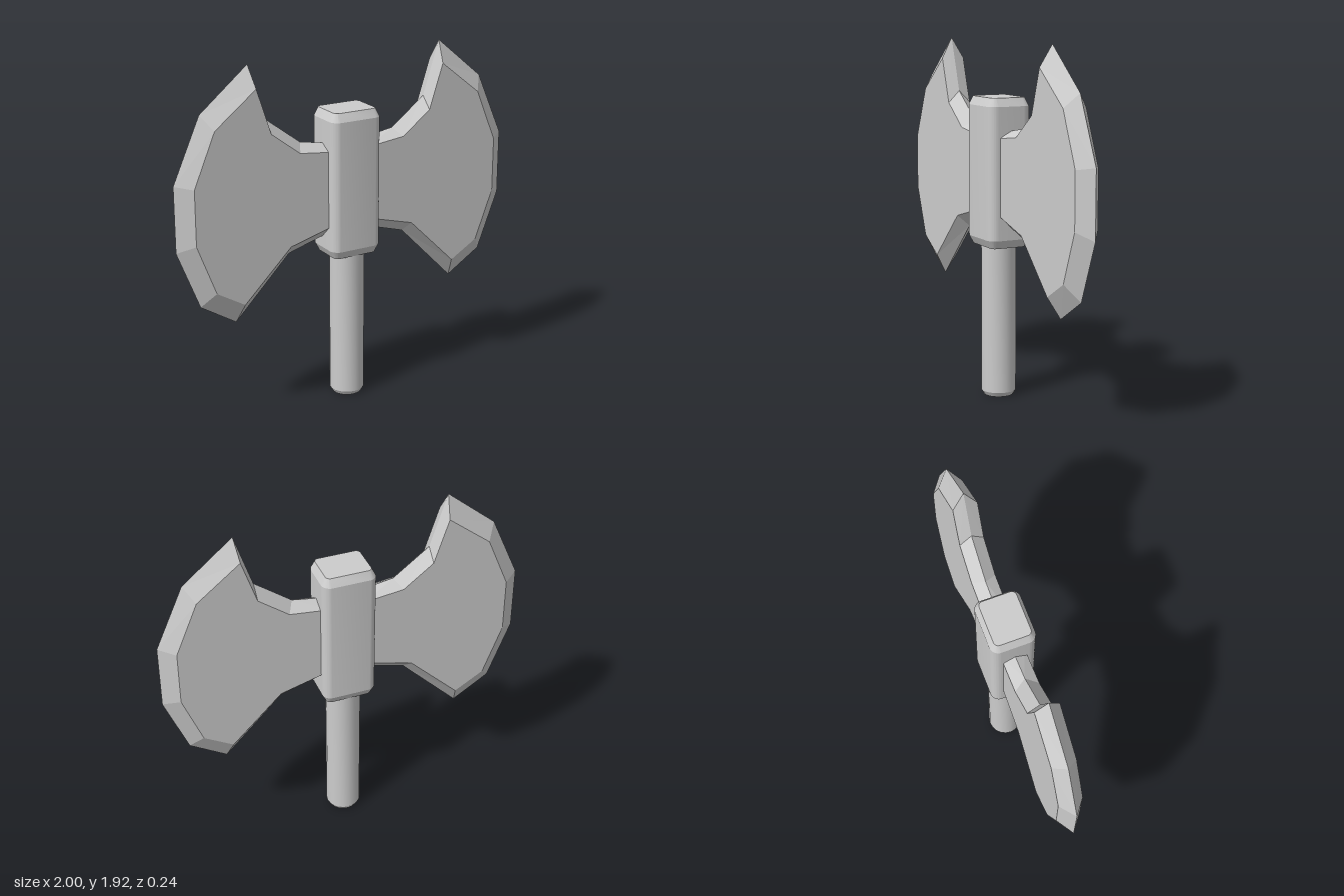
import * as THREE from 'three';
import { toCreasedNormals } from 'three/addons/utils/BufferGeometryUtils.js';

// Each row: cutting edge x, y (at z = 0), then flat face x, y (at z = +-BLADE_HALF)
const BLADE_HALF = 0.065;
const BLADE_RIM = [
  [0.10, 0.955, 0.10, 1.015],
  [0.355, 0.88, 0.375, 0.94],
  [0.675, 0.555, 0.65, 0.67],
  [0.875, 0.68, 0.81, 0.765],
  [1.0, 1.0, 0.915, 1.04],
  [1.0, 1.355, 0.915, 1.34],
  [0.847, 1.70, 0.795, 1.625],
  [0.575, 1.925, 0.56, 1.81],
  [0.48, 1.63, 0.48, 1.565],
  [0.28, 1.48, 0.315, 1.44],
  [0.10, 1.45, 0.10, 1.415],
];

// Flat plate with bevels that meet in a sharp edge all around
function bladeGeometry() {
  const edge = BLADE_RIM.map(([x, y]) => new THREE.Vector3(x, y, 0));
  const face = BLADE_RIM.map(([, , x, y]) => new THREE.Vector3(x, y, BLADE_HALF));
  const tris = THREE.ShapeUtils.triangulateShape(face.map((p) => new THREE.Vector2(p.x, p.y)), [])
    .map((t) => t.map((i) => face[i]));
  for (let i = 0; i < edge.length; i++) {
    const j = (i + 1) % edge.length;
    tris.push([edge[i], edge[j], face[j]], [edge[i], face[j], face[i]]);
  }
  const positions = [];
  for (const [a, b, c] of tris) {
    for (const p of [a, b, c]) positions.push(p.x, p.y, p.z);
    for (const p of [a, c, b]) positions.push(p.x, p.y, -p.z);
  }
  const geometry = new THREE.BufferGeometry();
  geometry.setAttribute('position', new THREE.Float32BufferAttribute(positions, 3));
  geometry.computeVertexNormals();
  return geometry;
}

// Upright block with rounded corners and chamfered ends
function headGeometry() {
  const w = 0.125, d = 0.099, r = 0.025, half = Math.PI / 2;
  const shape = new THREE.Shape();
  shape.absarc(w - r, d - r, r, 0, half);
  shape.absarc(r - w, d - r, r, half, 2 * half);
  shape.absarc(r - w, r - d, r, 2 * half, 3 * half);
  shape.absarc(w - r, r - d, r, 3 * half, 4 * half);
  shape.closePath();
  const geometry = new THREE.ExtrudeGeometry(shape, {
    depth: 0.71, bevelEnabled: true, bevelSegments: 1,
    bevelSize: 0.023, bevelThickness: 0.045, curveSegments: 6,
  });
  geometry.rotateX(-Math.PI / 2);
  geometry.translate(0, 0.875, 0);
  return toCreasedNormals(geometry, 0.4);
}

// Round shaft with a chamfered foot
function handleGeometry() {
  const profile = [[0, 0], [0.08, 0], [0.095, 0.025], [0.095, 0.9], [0, 0.9]]
    .map(([x, y]) => new THREE.Vector2(x, y));
  return toCreasedNormals(new THREE.LatheGeometry(profile, 20), 0.4);
}

export function createModel() {
  const steel = new THREE.MeshStandardMaterial({ color: 0xcccccc });
  steel.name = 'plain grey';
  const model = new THREE.Group();
  model.name = 'doubleAxe';

  const add = (name, geometry) => {
    const mesh = new THREE.Mesh(geometry, steel);
    mesh.name = name;
    model.add(mesh);
    return mesh;
  };

  add('handle', handleGeometry());
  add('headBlock', headGeometry());

  // Two matching blades, one turned half way round
  const blade = bladeGeometry();
  add('leftBlade', blade);
  add('rightBlade', blade).rotation.y = Math.PI;

  return model;
}
